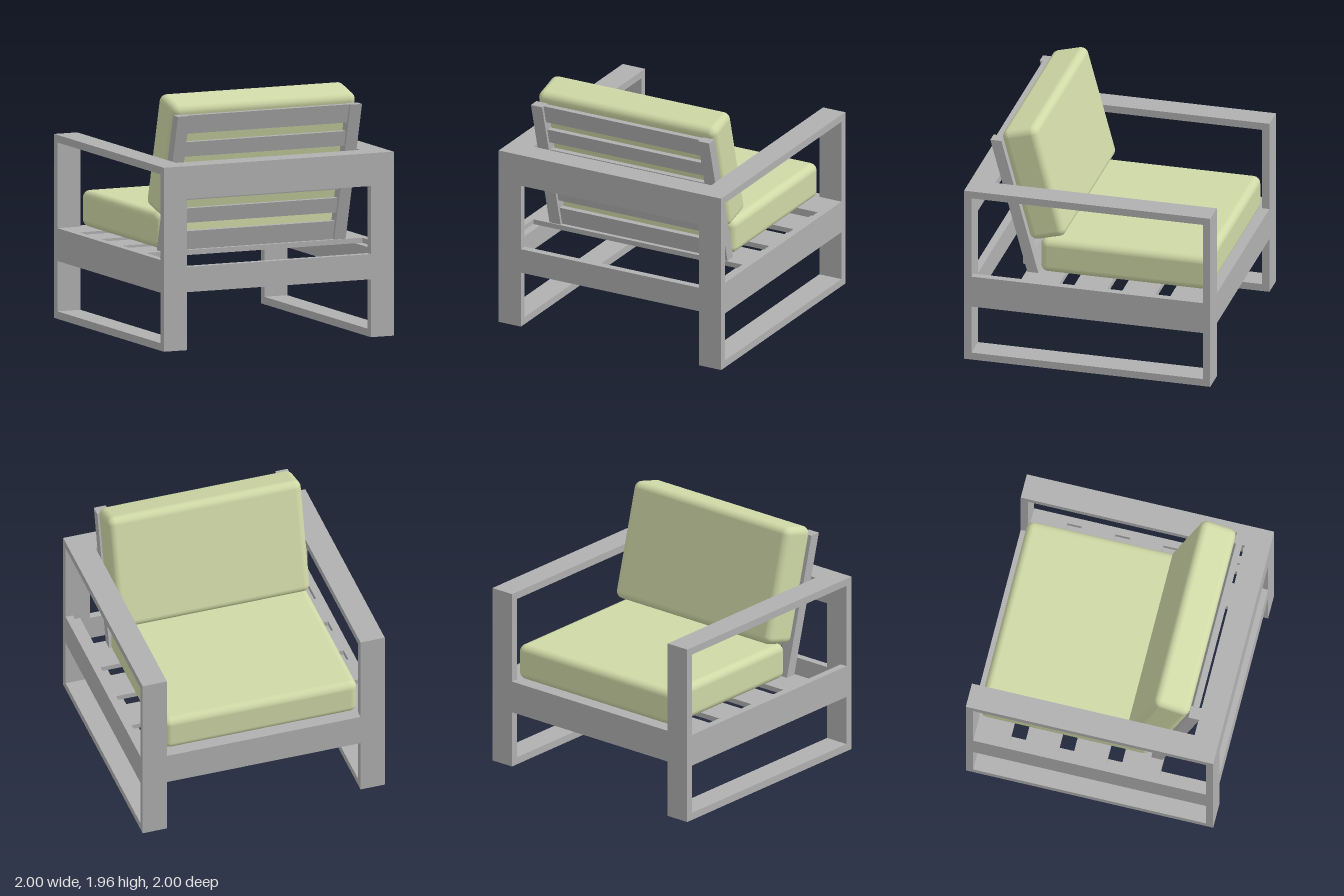
import * as THREE from 'three';
import { RoundedBoxGeometry } from 'three/addons/geometries/RoundedBoxGeometry.js';

export function createModel() {
  const model = new THREE.Group();
  model.name = 'armchair';

  const frameGrey = new THREE.MeshStandardMaterial({ color: 0xb0b0b0 });
  frameGrey.name = 'frame grey';
  const cushionGreen = new THREE.MeshStandardMaterial({ color: 0xcfd8a6 });
  cushionGreen.name = 'cushion green';

  const add = (name, geometry, material) => {
    const mesh = new THREE.Mesh(geometry, material);
    mesh.name = name;
    model.add(mesh);
    return mesh;
  };

  // Box given by its limits on each axis
  const bar = (name, x0, x1, y0, y1, z0, z1) => {
    const mesh = add(name, new THREE.BoxGeometry(x1 - x0, y1 - y0, z1 - z0), frameGrey);
    mesh.position.set((x0 + x1) / 2, (y0 + y1) / 2, (z0 + z1) / 2);
    return mesh;
  };

  // Box sheared along the backrest slope, with level top and bottom
  const slope = 0.27;
  const leaningBar = (name, x0, x1, y0, y1, inset, depth) => {
    const g = new THREE.BoxGeometry(x1 - x0, y1 - y0, depth);
    g.translate((x0 + x1) / 2, (y0 + y1) / 2, 0.45 + inset + depth / 2);
    const p = g.attributes.position;
    for (let i = 0; i < p.count; i++) p.setZ(i, p.getZ(i) + (p.getY(i) - 0.72) * slope);
    g.computeVertexNormals();
    add(name, g, frameGrey);
  };

  // Side frames: a wide flat loop with a thin outer rail and a slat ledger
  for (const s of [1, -1]) {
    const side = (name, xa, xb, ...rest) =>
      bar(name, Math.min(s * xa, s * xb), Math.max(s * xa, s * xb), ...rest);
    side('armrest', 0.8, 1, 1.4, 1.46, -1, 1);
    side('floorRunner', 0.8, 1, 0, 0.06, -1, 1);
    side('frontLeg', 0.8, 1, 0.06, 1.4, 0.94, 1);
    side('backLeg', 0.8, 1, 0.06, 1.4, -1, -0.94);
    side('sideRail', 0.94, 1, 0.46, 0.72, -0.94, 0.94);
    side('slatLedger', 0.88, 0.94, 0.62, 0.68, -0.94, 0.94);
  }

  // Cross members
  bar('upperCrossBoard', -0.8, 0.8, 1.2, 1.4, 0.94, 1);
  bar('upperCrossShelf', -0.8, 0.8, 1.4, 1.46, 0.8, 1);
  bar('lowerCrossRail', -0.8, 0.8, 0.46, 0.66, 0.94, 1);
  bar('seatEdgeRail', -0.8, 0.8, 0.46, 0.72, -1, -0.94);

  // Seat slats
  for (const [z0, z1] of [[-0.94, -0.66], [-0.54, -0.27], [-0.15, 0.12], [0.24, 0.55]])
    bar('seatSlat', -0.94, 0.94, 0.68, 0.72, z0, z1);

  // Leaning backrest frame
  leaningBar('backrestPost', 0.7, 0.8, 0.72, 1.83, 0, 0.09);
  leaningBar('backrestPost', -0.8, -0.7, 0.72, 1.83, 0, 0.09);
  const slats = [[0.72, 0.87], [0.94, 1.06], [1.13, 1.24], [1.31, 1.42], [1.49, 1.61], [1.68, 1.83]];
  for (const [y0, y1] of slats) leaningBar('backrestSlat', -0.7, 0.7, y0, y1, 0.015, 0.05);

  // Cushions
  const seat = add('seatCushion', new RoundedBoxGeometry(1.6, 0.29, 1.38, 5, 0.06), cushionGreen);
  seat.position.set(0, 0.87, -0.25);
  const back = add('backCushion', new RoundedBoxGeometry(1.6, 0.95, 0.3, 5, 0.06), cushionGreen);
  back.position.set(0, 1.478, 0.495);
  back.rotation.x = Math.atan(slope);

  return model;
}
